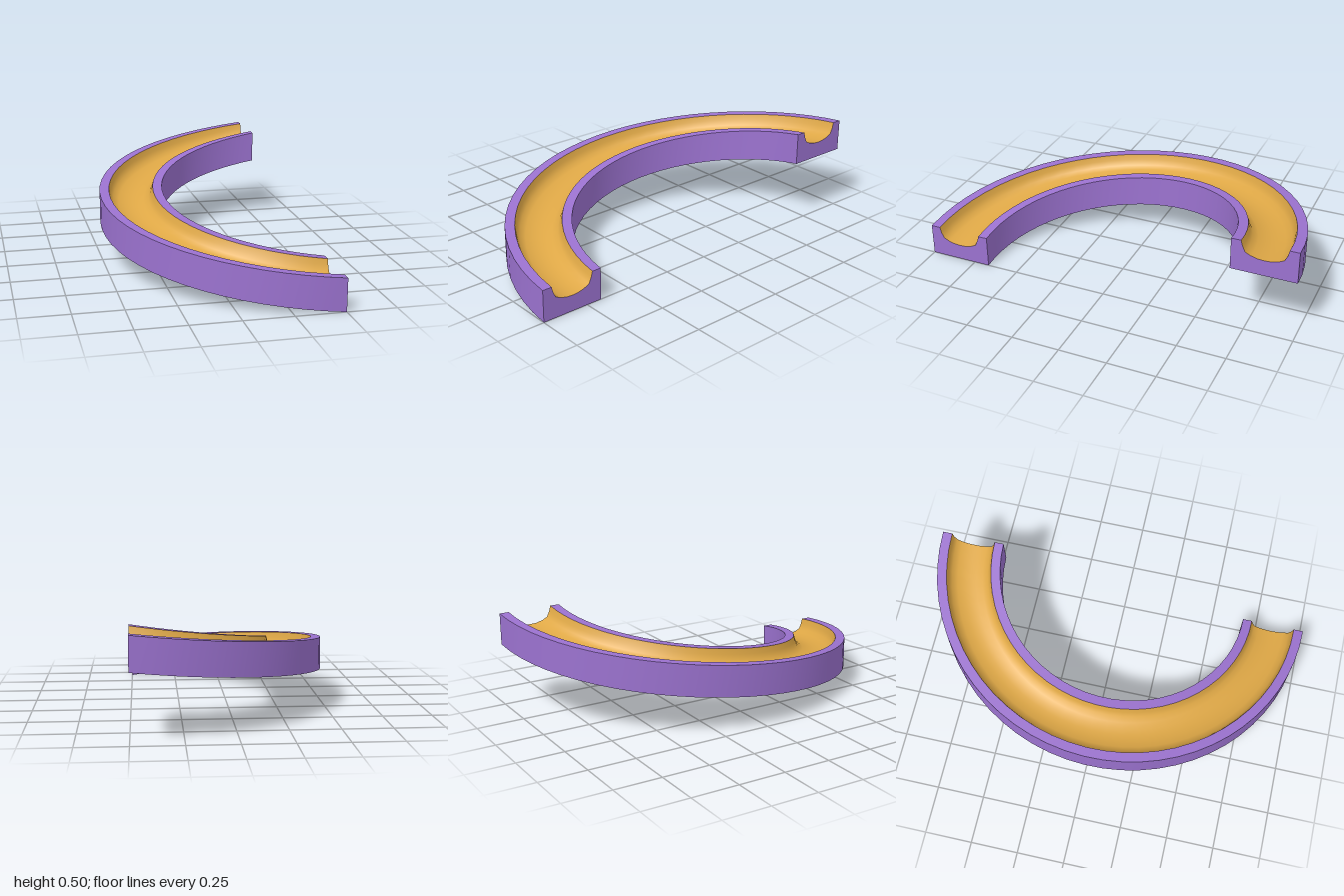
import * as THREE from 'three';

const RISE = 1 / 3, STEPS = 32, CX = 0.5;
const INNER = 0.667, OUTER = 1, TOP = 0.167;

// Sweeps an open profile of [radius, height] points along the rising half turn
function sweep(profile) {
  const pos = [], idx = [], n = profile.length;
  for (let i = 0; i <= STEPS; i++) {
    const t = (i / STEPS) * Math.PI;
    for (const [r, h] of profile) {
      pos.push(CX - r * Math.sin(t), h + (RISE * i) / STEPS, r * Math.cos(t));
    }
  }
  for (let i = 0; i < STEPS; i++) {
    for (let j = 0; j < n - 1; j++) {
      const a = i * n + j, b = a + 1, c = a + n, d = c + 1;
      idx.push(a, b, c, b, d, c);
    }
  }
  const g = new THREE.BufferGeometry();
  g.setAttribute('position', new THREE.Float32BufferAttribute(pos, 3));
  g.setIndex(idx);
  g.computeVertexNormals();
  return g;
}

export function createModel() {
  const purple = new THREE.MeshStandardMaterial({ color: 0x9b72cf });
  purple.name = 'purple';
  const gold = new THREE.MeshStandardMaterial({ color: 0xdfa846 });
  gold.name = 'gold';

  const group = new THREE.Group();
  group.name = 'curvedRamp';
  const add = (name, geometry, material) => {
    const mesh = new THREE.Mesh(geometry, material);
    mesh.name = name;
    group.add(mesh);
  };

  // Rounded channel section, from the outer lip to the inner lip
  const channel = [
    [0.95, TOP], [0.943, 0.138], [0.929, 0.108], [0.9, 0.094], [0.865, 0.085], [0.833, 0.083],
    [0.802, 0.085], [0.767, 0.094], [0.738, 0.108], [0.724, 0.138], [0.716, TOP],
  ];
  const lipOut = channel[0], lipIn = channel[channel.length - 1];

  // Body faces, each its own strip so the long edges stay sharp
  add('underside', sweep([[INNER, 0], [OUTER, 0]]), purple);
  add('outerWall', sweep([[OUTER, 0], [OUTER, TOP]]), purple);
  add('outerRim', sweep([[OUTER, TOP], lipOut]), purple);
  add('channel', sweep(channel), gold);
  add('innerRim', sweep([lipIn, [INNER, TOP]]), purple);
  add('innerWall', sweep([[INNER, TOP], [INNER, 0]]), purple);

  // Flat end faces, low at the front and high at the back
  const outline = [[INNER, 0], [OUTER, 0], [OUTER, TOP], ...channel, [INNER, TOP]];
  for (const [name, side, y] of [['lowerEnd', -1, 0], ['upperEnd', 1, RISE]]) {
    const shape = new THREE.Shape(outline.map(([r, h]) => new THREE.Vector2(side * r, h)));
    const cap = new THREE.ShapeGeometry(shape);
    cap.rotateY(Math.PI / 2).translate(CX, y, 0);
    add(name, cap, purple);
  }
  return group;
}
